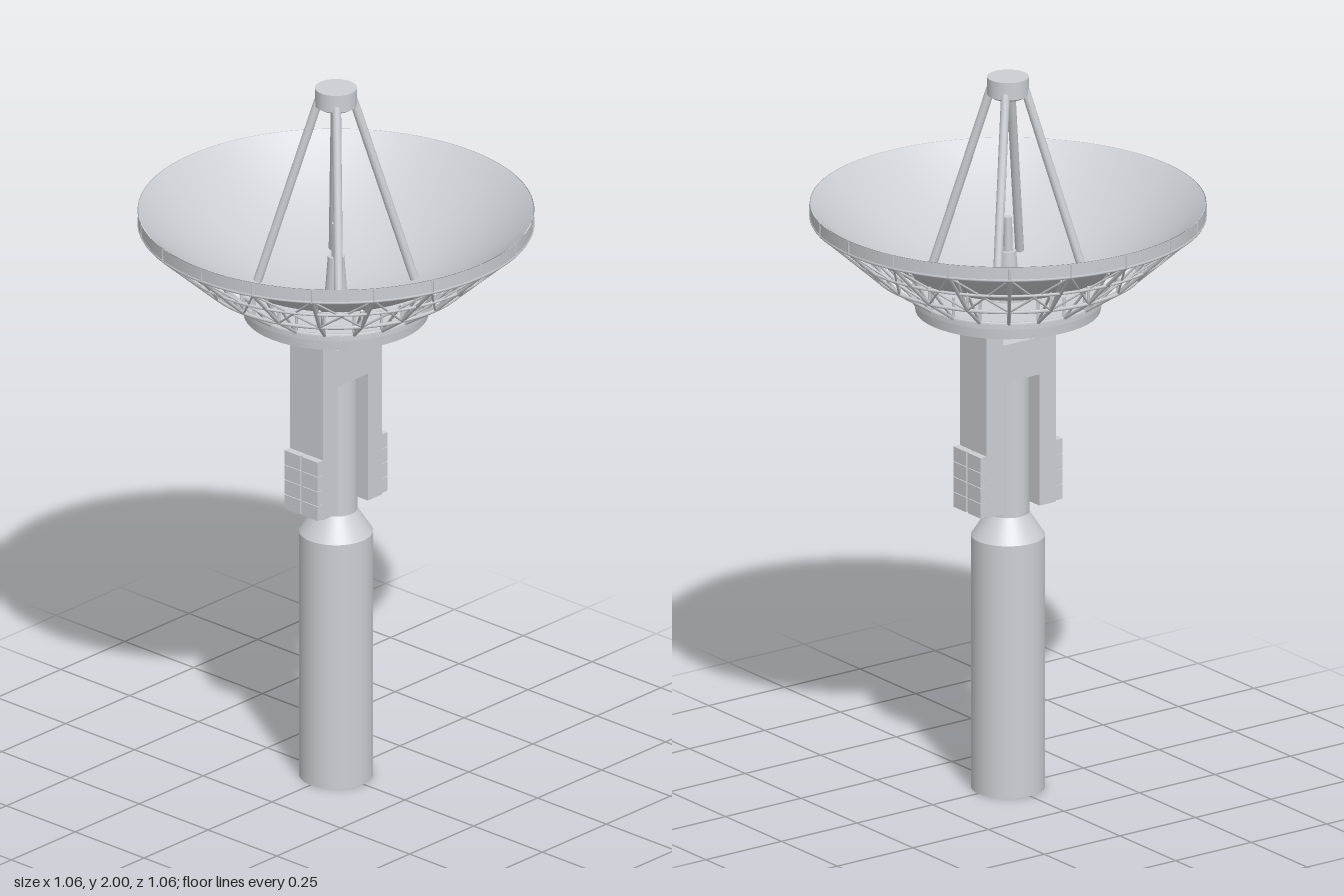
import * as THREE from 'three';

export function createModel() {
  const model = new THREE.Group();
  const grey = new THREE.MeshStandardMaterial({ color: 0xcbcfd4 });
  grey.name = 'paintedSteel';
  const greySheet = new THREE.MeshStandardMaterial({ color: 0xcbcfd4, side: THREE.DoubleSide });
  greySheet.name = 'paintedSheet';

  const add = (name, geometry, parent = model, material = grey) => {
    const mesh = new THREE.Mesh(geometry, material);
    mesh.name = name;
    parent.add(mesh);
    return mesh;
  };
  const group = (name) => {
    const g = new THREE.Group();
    g.name = name;
    model.add(g);
    return g;
  };
  const cylinder = (name, rTop, rBottom, y0, y1, parent) => {
    const mesh = add(name, new THREE.CylinderGeometry(rTop, rBottom, y1 - y0, 48), parent);
    mesh.position.y = (y0 + y1) / 2;
  };
  const box = (name, x0, x1, y0, y1, z0, z1, parent) => {
    const mesh = add(name, new THREE.BoxGeometry(x1 - x0, y1 - y0, z1 - z0), parent);
    mesh.position.set((x0 + x1) / 2, (y0 + y1) / 2, (z0 + z1) / 2);
  };
  // Straight round bar between two points
  const up = new THREE.Vector3(0, 1, 0);
  const bar = (name, a, b, r, parent, sides = 6) => {
    const dir = b.clone().sub(a);
    const mesh = add(name, new THREE.CylinderGeometry(r, r, dir.length(), sides), parent);
    mesh.position.copy(a).add(b).multiplyScalar(0.5);
    mesh.quaternion.setFromUnitVectors(up, dir.normalize());
  };
  const polar = (r, y, angle) => new THREE.Vector3(r * Math.sin(angle), y, r * Math.cos(angle));
  const ring = (name, r, y, tube, parent) => {
    const mesh = add(name, new THREE.TorusGeometry(r, tube, 6, 80), parent);
    mesh.rotation.x = Math.PI / 2;
    mesh.position.y = y;
  };

  // Pedestal with a tapered shoulder and a slim neck
  const pedestal = group('pedestal');
  cylinder('column', 0.099, 0.099, 0, 0.71, pedestal);
  cylinder('shoulder', 0.057, 0.099, 0.71, 0.775, pedestal);
  cylinder('neck', 0.057, 0.057, 0.775, 1.165, pedestal);

  // H-shaped yoke with slotted counterweights on the outside of each arm
  const yoke = group('yoke');
  box('crossbar', -0.062, 0.062, 1.165, 1.27, -0.06, 0.06, yoke);
  for (const side of [-1, 1]) {
    const span = (a, b) => [Math.min(side * a, side * b), Math.max(side * a, side * b)];
    box('arm', ...span(0.06, 0.115), 0.795, 1.35, -0.06, 0.06, yoke);
    box('counterweightCore', ...span(0.11, 0.131), 0.802, 0.968, -0.058, 0.058, yoke);
    for (let row = 0; row < 4; row++) {
      const y = 0.798 + row * 0.043;
      for (const z of [-0.06, 0.004]) {
        box('counterweightBlock', ...span(0.114, 0.136), y + 0.001, y + 0.042, z, z + 0.056, yoke);
      }
    }
  }

  // Hub plate below the dish
  const hub = group('hub');
  cylinder('hubPlate', 0.25, 0.247, 1.345, 1.38, hub);
  cylinder('hubLip', 0.257, 0.257, 1.375, 1.388, hub);
  cylinder('hubCore', 0.08, 0.08, 1.385, 1.404, hub);

  // Parabolic reflector and rim band
  const RIM = 0.526;
  const bowlY = (r) => 1.402 + 0.243 * (r / RIM) ** 2;
  const profile = [];
  for (let i = 0; i <= 20; i++) {
    const r = (RIM * i) / 20;
    profile.push(new THREE.Vector2(r, bowlY(r)));
  }
  const dish = group('dish');
  add('reflector', new THREE.LatheGeometry(profile, 80), dish, greySheet);
  const band = add('rimBand', new THREE.CylinderGeometry(0.528, 0.527, 0.038, 80, 1, true), dish, greySheet);
  band.position.y = 1.626;

  // Backing truss: radial ribs, hoops and cross braces
  const truss = group('backingTruss');
  const COUNT = 20;
  const hubR = 0.25, midR = 0.36, outR = 0.524;
  const hubY = 1.388, midY = 1.46, outY = 1.607;
  for (let i = 0; i < COUNT; i++) {
    const a = (i / COUNT) * Math.PI * 2;
    const b = ((i + 1) / COUNT) * Math.PI * 2;
    const foot = polar(hubR, hubY, a), mid = polar(midR, midY, a), tip = polar(outR, outY, a);
    const onBowl = (r) => polar(r, bowlY(r) - 0.009, a);
    bar('lowerRib', foot, mid, 0.005, truss);
    bar('upperRib', mid, tip, 0.005, truss);
    bar('hubStrut', foot, onBowl(hubR), 0.004, truss);
    bar('midStrut', mid, onBowl(midR), 0.004, truss);
    bar('webDiagonal', foot, onBowl(midR), 0.004, truss);
    bar('webDiagonal', mid, onBowl(0.45), 0.004, truss);
    bar('crossBrace', mid, polar(outR, outY, b), 0.003, truss);
    bar('crossBrace', tip, polar(midR, midY, b), 0.003, truss);
    bar('rimPost', polar(0.527, outY, a), polar(0.527, 1.643, a), 0.003, truss);
  }
  ring('outerHoop', outR, outY, 0.005, truss);
  ring('upperHoop', (midR + outR) / 2, (midY + outY) / 2, 0.004, truss);
  ring('middleHoop', midR, midY, 0.005, truss);
  ring('innerHoop', hubR, hubY, 0.006, truss);

  // Feed horn at the centre of the dish
  const feed = group('feedHorn');
  cylinder('feedBase', 0.022, 0.03, 1.4, 1.51, feed);
  cylinder('feedTip', 0.011, 0.012, 1.51, 1.605, feed);

  // Subreflector with a domed underside on four legs
  const cap = [[0, 1.936], [0.025, 1.938], [0.045, 1.944], [0.056, 1.952]];
  const subreflector = group('subreflector');
  add('subreflectorDome', new THREE.LatheGeometry(cap.map((p) => new THREE.Vector2(...p)), 48),
    subreflector, greySheet);
  cylinder('subreflectorCap', 0.056, 0.056, 1.951, 2, subreflector);
  for (let i = 0; i < 4; i++) {
    const a = Math.PI / 4 + (i * Math.PI) / 2;
    bar('subreflectorLeg', polar(0.21, bowlY(0.21) - 0.004, a), polar(0.046, 1.965, a), 0.012, subreflector, 16);
  }

  return model;
}
